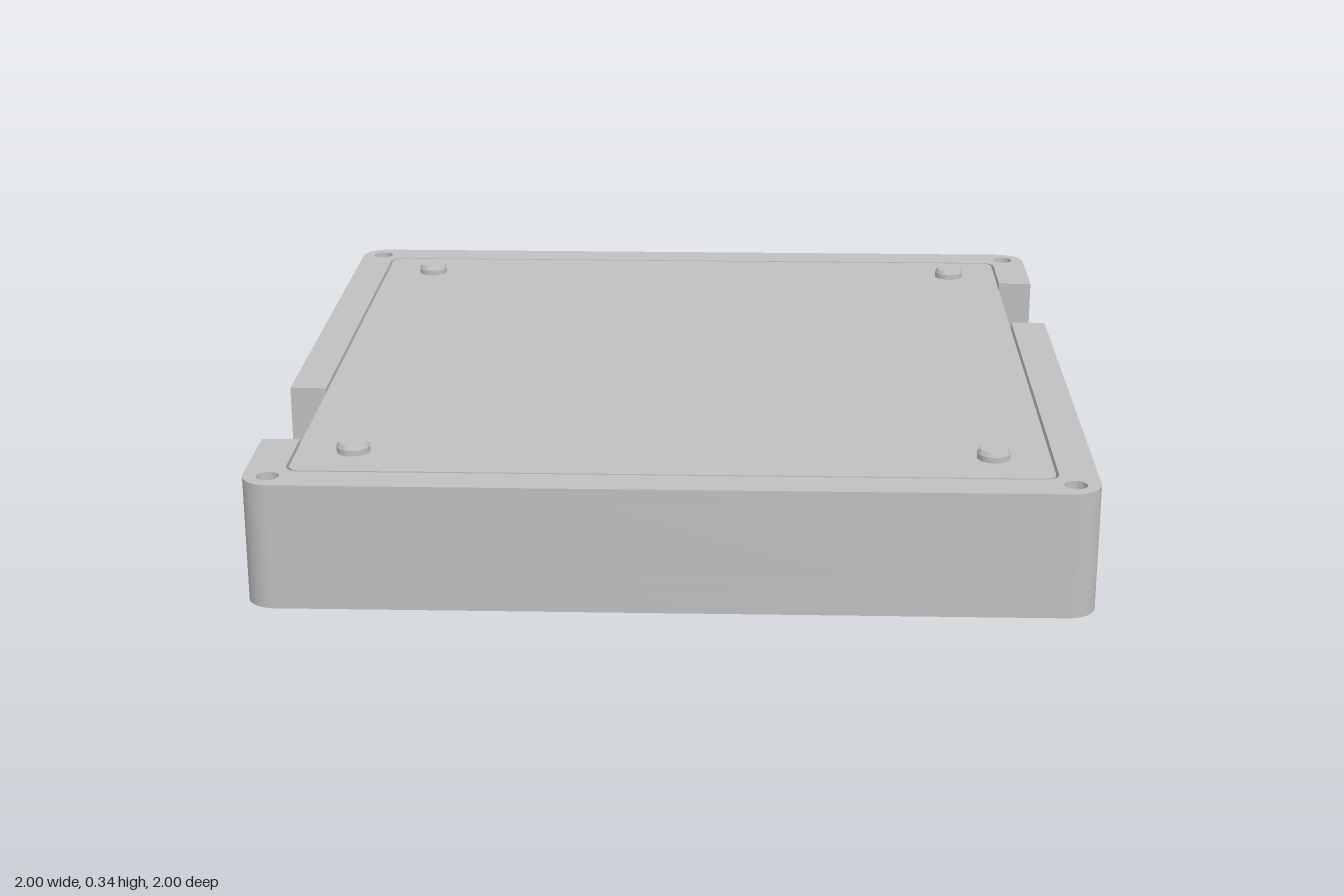
import * as THREE from 'three';
import { toCreasedNormals } from 'three/addons/utils/BufferGeometryUtils.js';

const V = (x, y) => new THREE.Vector2(x, y);
const grey = new THREE.MeshStandardMaterial({ color: 0xc0c0c0 });
grey.name = 'grey plastic';

// quarter-circle corner points, counter-clockwise from angle a
function corner(cx, cy, r, a, n = 10) {
  return Array.from({ length: n + 1 }, (_, i) => {
    const t = a + (i / n) * Math.PI / 2;
    return V(cx + r * Math.cos(t), cy + r * Math.sin(t));
  });
}

const R = 0.07;          // outer corner radius
const INNER = 0.908;     // lid recess half width
const roundedTop = (h, r) => [
  ...corner(h - r, h - r, r, 0), ...corner(-h + r, h - r, r, Math.PI / 2),
];
// repeats half an outline, turned by 180 degrees
const turned = (half) => [...half, ...half.map((p) => V(-p.x, -p.y))];

function addHoles(shape, places, r) {
  for (const [x, y] of places) {
    const hole = new THREE.Path();
    hole.absarc(x, y, r, 0, Math.PI * 2, true);
    shape.holes.push(hole);
  }
  return shape;
}

// plan shape (x, -z) raised from y0 to y1
function slab(name, shape, y0, y1) {
  const geo = new THREE.ExtrudeGeometry(shape, { depth: y1 - y0, bevelEnabled: false, curveSegments: 16 });
  geo.rotateX(-Math.PI / 2).translate(0, y0, 0);
  const mesh = new THREE.Mesh(toCreasedNormals(geo, 0.5), grey);
  mesh.name = name;
  return mesh;
}

export function createModel() {
  const model = new THREE.Group();
  model.name = 'squareEnclosure';

  // base with a 4 x 4 pattern of blind holes underneath
  const outer = turned(roundedTop(1, R));
  const rows = [-0.94, -0.1, 0.1, 0.94];
  const places = rows.flatMap((x) => rows.map((y) => [x, y]));
  model.add(slab('baseWithHoles', addHoles(new THREE.Shape(outer), places, 0.027), 0, 0.04));
  model.add(slab('baseFloor', new THREE.Shape(outer), 0.04, 0.055));

  // body with a cable notch in each side
  const notch = [V(1, 0.31), V(0.905, 0.31), V(0.905, 0.69), V(1, 0.69)];
  model.add(slab('lowerBody', new THREE.Shape(turned([...notch, ...roundedTop(1, R)])), 0.055, 0.09));

  // the same body with a pocket behind each notch
  const pocket = [
    V(1, 0.31), V(0.905, 0.31), V(0.905, 0.36), V(0.6, 0.36),
    V(0.6, 0.68), V(0.905, 0.68), V(0.905, 0.69), V(1, 0.69),
  ];
  model.add(slab('upperBody', new THREE.Shape(turned([...pocket, ...roundedTop(1, R)])), 0.09, 0.27));

  // lid
  model.add(slab('lid', new THREE.Shape(turned(roundedTop(0.901, 0.03))), 0.27, 0.31));

  // rim half, post and port frame appear on both sides
  const rimPoints = [
    V(INNER, 0.69), V(1, 0.69), ...roundedTop(1, R), V(-1, -0.31), V(-INNER, -0.31),
    ...roundedTop(INNER, 0.035).reverse(),
  ];
  for (const side of [0, 1]) {
    const half = new THREE.Group();
    half.name = side ? 'leftwardHalf' : 'rightwardHalf';
    half.rotation.y = side * Math.PI;

    const rim = addHoles(new THREE.Shape(rimPoints), [[0.94, 0.94], [-0.94, 0.94]], 0.027);
    half.add(slab('rim', rim, 0.27, 0.31));

    // thin port frame with a rounded opening, drawn in (-z, y)
    const frame = new THREE.Shape([V(0.36, 0.09), V(0.68, 0.09), V(0.68, 0.27), V(0.36, 0.27)]);
    frame.holes.push(new THREE.Path([
      V(0.385, 0.268), V(0.405, 0.245), V(0.405, 0.14), V(0.415, 0.113), V(0.44, 0.095),
      V(0.63, 0.097), V(0.655, 0.108), V(0.668, 0.135), V(0.668, 0.268),
    ]));
    const frameGeo = new THREE.ExtrudeGeometry(frame, { depth: 0.025, bevelEnabled: false });
    frameGeo.rotateY(Math.PI / 2).translate(0.88, 0, 0);
    const port = new THREE.Mesh(toCreasedNormals(frameGeo, 0.5), grey);
    port.name = 'portFrame';
    half.add(port);

    const post = new THREE.Mesh(new THREE.CylinderGeometry(0.055, 0.055, 0.18, 24), grey);
    post.name = 'pocketPost';
    post.position.set(0.79, 0.18, -0.465);
    half.add(post);
    model.add(half);
  }

  // four round pegs on the lid
  const pegProfile = [V(0.04, 0), V(0.04, 0.014), V(0.034, 0.025), V(0, 0.025)];
  const pegGeo = toCreasedNormals(new THREE.LatheGeometry(pegProfile, 28), 0.4);
  for (const x of [-0.765, 0.765]) {
    for (const z of [-0.765, 0.765]) {
      const peg = new THREE.Mesh(pegGeo, grey);
      peg.name = 'lidPeg';
      peg.position.set(x, 0.31, z);
      model.add(peg);
    }
  }
  return model;
}
